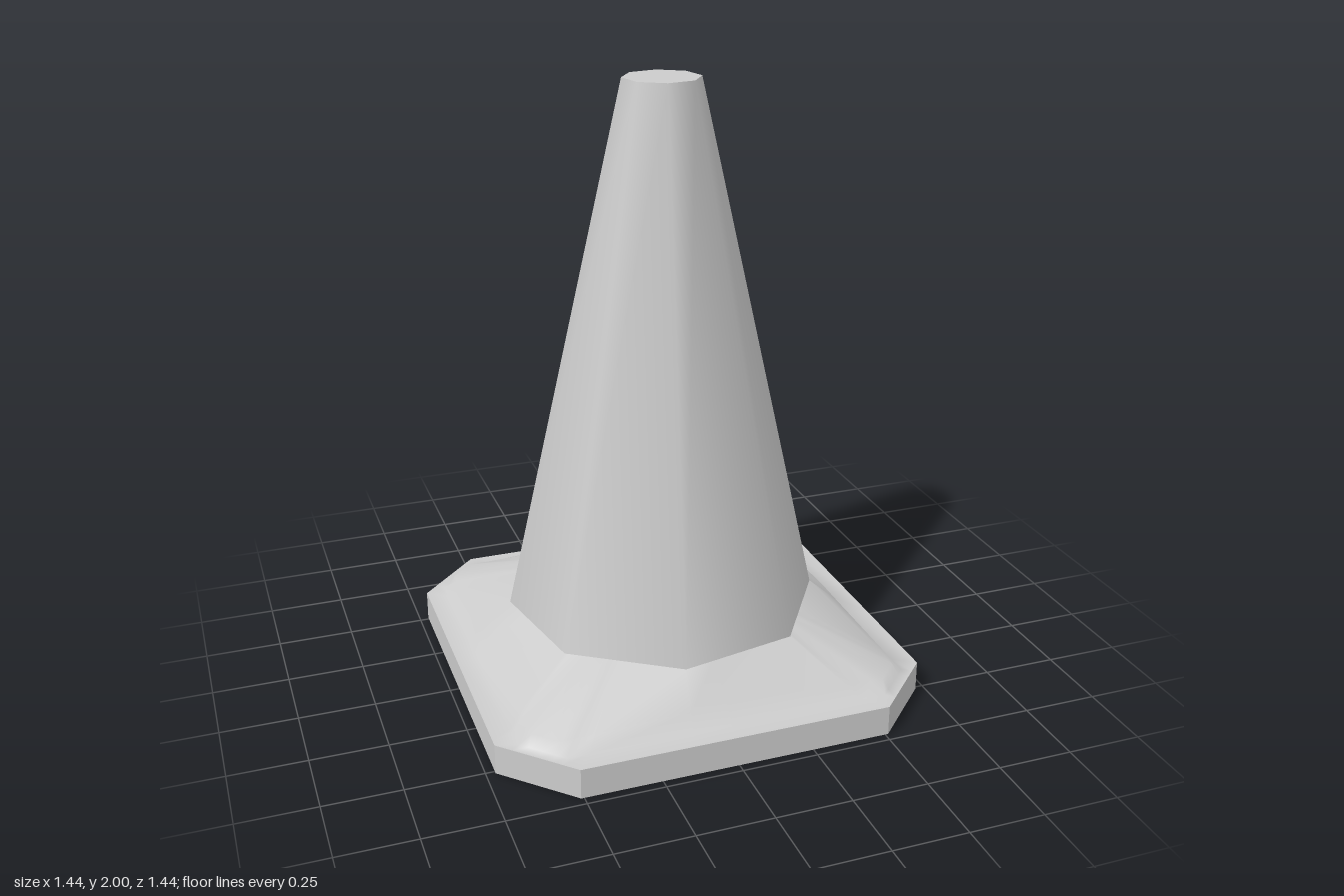
import * as THREE from 'three';

const Q = Math.PI / 4;
const TWIST = 0.592; // rotation of the eight-sided cone

// Convex outlines as radius at angle a (x = sin, z = cos)
const sided = (a, start, step, d) => {
  let r = Infinity;
  for (let k = 0; k < 8; k++) {
    const c = Math.cos(a - start - k * step);
    if (c > 0.01) r = Math.min(r, d / c);
  }
  return r;
};
const octagon = (r) => (a) => sided(a, TWIST + Q / 2, Q, r * Math.cos(Q / 2));
const chamferedSquare = (half, side) => (a) =>
  Math.min(sided(a, 0, 2 * Q, half), sided(a, Q, 2 * Q, (half + side) / Math.SQRT2));

// Sample angles that hit every corner of every outline
const angles = [];
for (let k = 0; k < 8; k++) angles.push((TWIST + k * Q) % (2 * Math.PI));
for (let k = 0; k < 4; k++) {
  for (const [h, s] of [[0.72, 0.51], [0.65, 0.53], [0.61, 0.54]]) {
    const t = Math.atan2(s, h);
    angles.push(k * 2 * Q + t, (k + 1) * 2 * Q - t);
  }
  angles.push(k * 2 * Q, k * 2 * Q + Q);
}
angles.sort((a, b) => a - b);

// Skin a list of [outline, height] rings; height may depend on the angle
function loft(rings, flat = false) {
  const pos = [], idx = [], n = angles.length;
  for (const [outline, y] of rings) {
    for (const a of angles) {
      const r = outline(a);
      pos.push(r * Math.sin(a), typeof y === 'function' ? y(a) : y, r * Math.cos(a));
    }
  }
  for (let i = 0; i < rings.length - 1; i++) {
    for (let j = 0; j < n; j++) {
      const a = i * n + j, b = i * n + (j + 1) % n;
      idx.push(a, b, b + n, a, b + n, a + n);
    }
  }
  let g = new THREE.BufferGeometry();
  g.setAttribute('position', new THREE.Float32BufferAttribute(pos, 3));
  g.setIndex(idx);
  if (flat) g = g.toNonIndexed();
  g.computeVertexNormals();
  return g;
}

export function createModel() {
  const model = new THREE.Group();
  const material = new THREE.MeshStandardMaterial({ color: 0xcccccc });
  const add = (name, geometry) => {
    const mesh = new THREE.Mesh(geometry, material);
    mesh.name = name;
    model.add(mesh);
    return mesh;
  };
  const plate = chamferedSquare(0.72, 0.51);

  // Flat rim of the base plate
  add('basePlateRim', loft([[plate, 0], [plate, 0.1]], true));

  // Plate top swelling up into the foot of the cone, lower at the corners
  const shoulder = (a) => 0.155 - 0.02 * Math.sin(2 * a) ** 2;
  add('baseSkirt', loft([
    [plate, 0.1],
    [chamferedSquare(0.65, 0.53), 0.1],
    [chamferedSquare(0.61, 0.54), shoulder],
    [octagon(0.52), 0.24],
  ]));

  // Eight-sided cone body and its flat tip
  const body = new THREE.CylinderGeometry(0.125, 0.52, 1.76, 8, 1, true, TWIST);
  add('coneBody', body).position.y = 1.12;
  const tip = new THREE.CircleGeometry(0.125, 8, TWIST - 2 * Q).rotateX(-Math.PI / 2);
  add('coneTip', tip).position.y = 2;

  // Underside with the hollow running up inside the cone
  add('hollowUnderside', loft([
    [octagon(0), 1.9],
    [octagon(0.1), 1.9],
    [octagon(0.37), 0.12],
    [octagon(0.44), 0],
    [plate, 0],
  ]));

  return model;
}
